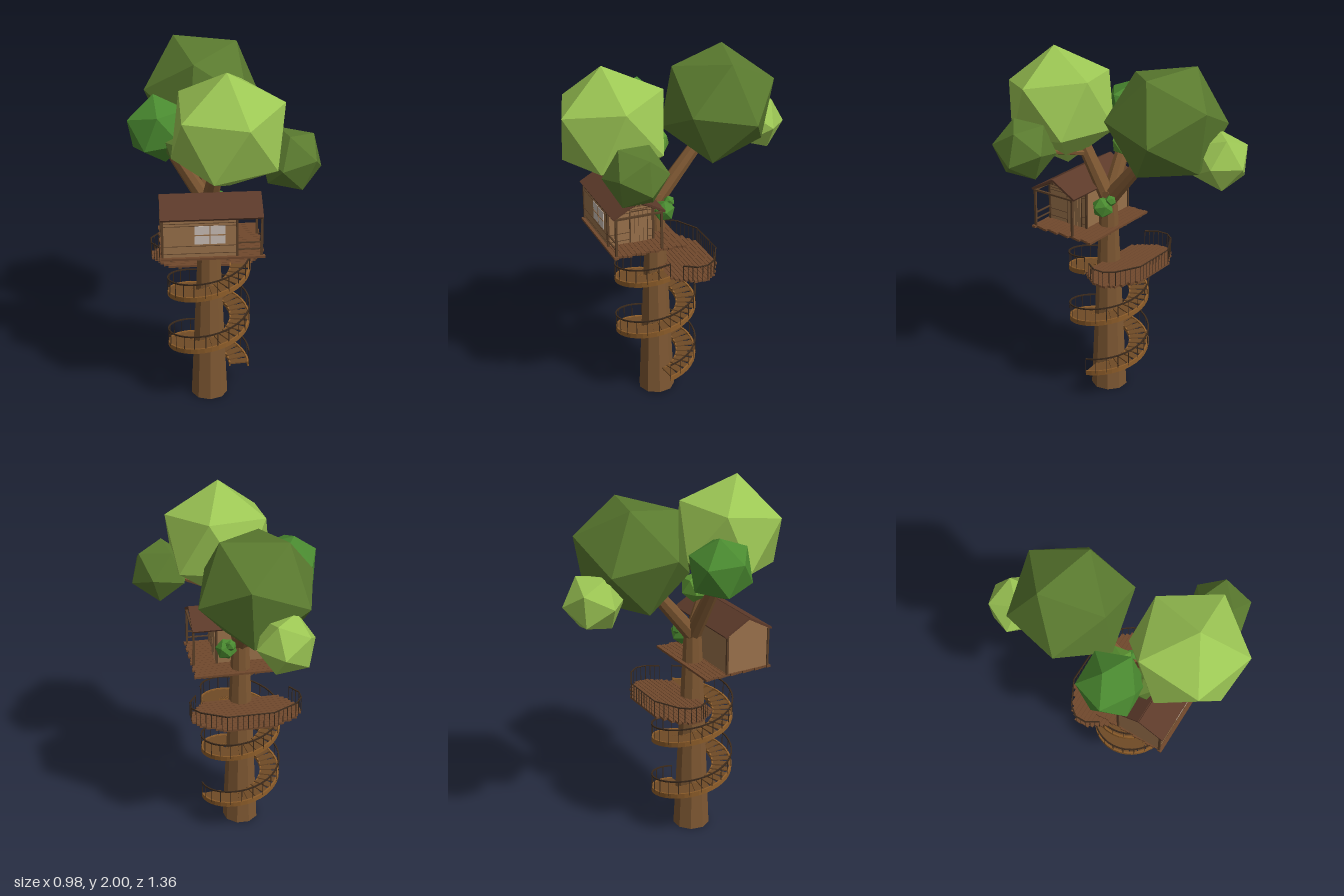
import * as THREE from 'three';

const V = (x, y, z) => new THREE.Vector3(x, y, z);
const mat = (color) => new THREE.MeshStandardMaterial({ color, flatShading: true });
const M = {
  bark: mat(0x7d5732), tread: mat(0x6f4a26), stringer: mat(0x8f5e2a), deck: mat(0x70482c),
  rail: mat(0x3b2a1c), wall: mat(0x98704a), trim: mat(0x5a3f28), roof: mat(0x5c3a2a), glass: mat(0xc9bdb5),
  lime: mat(0x9cc654), olive: mat(0x5a7a2f), green: mat(0x4a8a30), leaf: mat(0x5f9a35),
};
const CX = -0.065, CZ = 0.125; // trunk axis

function add(parent, name, geo, material) {
  const m = new THREE.Mesh(geo, material);
  m.name = name;
  parent.add(m);
  return m;
}
function box(parent, name, material, x0, x1, y0, y1, z0, z1) {
  const m = add(parent, name, new THREE.BoxGeometry(x1 - x0, y1 - y0, z1 - z0), material);
  m.position.set((x0 + x1) / 2, (y0 + y1) / 2, (z0 + z1) / 2);
  return m;
}
// Tapered round bar between two points
function bar(parent, name, material, a, b, r0, r1 = r0, sides = 4) {
  const m = add(parent, name, new THREE.CylinderGeometry(r1, r0, a.distanceTo(b), sides), material);
  m.position.copy(a).add(b).multiplyScalar(0.5);
  m.quaternion.setFromUnitVectors(V(0, 1, 0), b.clone().sub(a).normalize());
  return m;
}
function group(parent, name) {
  const g = new THREE.Group();
  g.name = name;
  parent.add(g);
  return g;
}

// Twenty-sided leaf clump with one corner along a and a neighbouring corner towards b
function frame(a, b) {
  const u = a.clone().normalize(), w = u.clone().cross(b).normalize();
  return new THREE.Matrix4().makeBasis(u, w.clone().cross(u), w);
}
function clump(parent, material, c, r, a, b) {
  const t = (1 + Math.sqrt(5)) / 2;
  const local = frame(V(-1, t, 0), V(1, t, 0)).invert();
  const m = add(parent, 'leafClump', new THREE.IcosahedronGeometry(r, 0), material);
  m.quaternion.setFromRotationMatrix(frame(V(...a), V(...b)).multiply(local));
  m.position.set(...c);
}

// Spiral stair: two turns, starting at +x and climbing round the back
const TURNS = 2, Y0 = 0.16, PITCH = 0.32;
const spiral = (t, r, y = 0) => V(CX + r * Math.cos(t), Y0 + PITCH * t / (2 * Math.PI) + y, CZ - r * Math.sin(t));
function helixBand(parent, name, material, r, w, y, h) {
  const g = new THREE.BoxGeometry(1, h, w, 72, 1, 1), p = g.attributes.position;
  for (let i = 0; i < p.count; i++) {
    const q = spiral((p.getX(i) + 0.5) * TURNS * 2 * Math.PI, r + p.getZ(i), y + p.getY(i));
    p.setXYZ(i, q.x, q.y, q.z);
  }
  g.computeVertexNormals();
  add(parent, name, g, material);
}
function buildStair(root) {
  const stair = group(root, 'spiralStair');
  helixBand(stair, 'outerStringer', M.stringer, 0.222, 0.01, 0, 0.028);
  helixBand(stair, 'innerStringer', M.stringer, 0.118, 0.008, 0, 0.02);
  helixBand(stair, 'handrail', M.rail, 0.225, 0.008, 0.09, 0.007);
  const steps = 56;
  for (let i = 0; i < steps; i++) {
    const t = (i + 0.5) / steps * TURNS * 2 * Math.PI;
    const tread = add(stair, 'tread', new THREE.BoxGeometry(0.11, 0.007, 0.042), M.tread);
    tread.position.copy(spiral(t, 0.168, 0.004));
    tread.rotation.y = t;
  }
  for (let i = 0; i <= 44; i++) {
    const t = i / 44 * TURNS * 2 * Math.PI;
    bar(stair, 'baluster', M.rail, spiral(t, 0.225), spiral(t, 0.225, 0.09), 0.0022);
  }
}

// Rounded landing behind the trunk: half width at each z
const EDGE = [[-0.185, 0.13], [-0.115, 0.265], [-0.06, 0.307], [0, 0.307], [0.065, 0.265], [0.125, 0.215]];
function halfWidth(z) {
  for (let i = 1; i < EDGE.length; i++) {
    const [z0, w0] = EDGE[i - 1], [z1, w1] = EDGE[i];
    if (z <= z1) return w0 + (w1 - w0) * (z - z0) / (z1 - z0);
  }
  return EDGE[EDGE.length - 1][1];
}
function buildLanding(root) {
  const landing = group(root, 'landing');
  for (let i = 0; i < 14; i++) {
    const z = -0.174 + i * 0.0222, w = halfWidth(z) - 0.004 * (i % 3 === 1);
    box(landing, 'deckBoard', M.deck, CX - w, CX + w, 0.79, 0.802, z - 0.01, z + 0.01);
  }
  for (const x of [-0.22, 0.09]) box(landing, 'joist', M.trim, x - 0.01, x + 0.01, 0.775, 0.79, -0.15, 0.11);
  // Railing from one side round the back to the other
  const pts = EDGE.slice(0, 5);
  const path = [...pts.map(([z, w]) => V(CX - w, 0.8, z)).reverse(), ...pts.map(([z, w]) => V(CX + w, 0.8, z))];
  const up = V(0, 0.086, 0);
  for (let i = 1; i < path.length; i++) {
    const a = path[i - 1], b = path[i], n = Math.max(2, Math.round(a.distanceTo(b) / 0.03));
    bar(landing, 'handrail', M.rail, a.clone().add(up), b.clone().add(up), 0.0045);
    for (let k = 0; k <= n; k++) {
      const p = a.clone().lerp(b, k / n);
      bar(landing, 'baluster', M.rail, p, p.clone().add(up), 0.0022);
    }
  }
}

// Cabin with a porch on the +x side, its ridge running along x
function buildHouse(root) {
  const house = group(root, 'house');
  const zb = 0.185, zf = 0.44, zm = (zb + zf) / 2, x0 = -0.325, x1 = 0.06, y0 = 1.012, y1 = 1.228;
  for (let i = 0; i < 16; i++) {
    const z = 0.063 + i * 0.0255, d = 0.006 * (i % 3);
    box(house, 'floorBoard', M.deck, -0.335 + d * 0.5, 0.205 - d, 1.0, y0, z - 0.0118, z + 0.0118);
  }
  for (const x of [-0.28, -0.14, 0.01, 0.15]) box(house, 'floorJoist', M.trim, x - 0.006, x + 0.006, 0.99, 1.0, 0.06, 0.445);

  // Walls with siding strips
  box(house, 'frontWall', M.wall, x0, x1, y0, y1, zf - 0.01, zf);
  box(house, 'backWall', M.wall, x0, x1, y0, y1, zb, zb + 0.01);
  for (const y of [1.03, 1.072, 1.185, 1.2, 1.215]) {
    box(house, 'siding', M.trim, x0, x1, y, y + 0.003, zf, zf + 0.002);
    box(house, 'siding', M.trim, x1, x1 + 0.002, y, y + 0.003, zb, zf);
  }
  const gable = new THREE.Shape([[zb, y0], [zf, y0], [zf, y1], [zm, 1.3], [zb, y1]].map(([z, y]) => new THREE.Vector2(-z, y)));
  for (const x of [x0, x1 - 0.01]) {
    const wall = add(house, 'gableWall', new THREE.ExtrudeGeometry(gable, { depth: 0.01, bevelEnabled: false }), M.wall);
    wall.rotation.y = Math.PI / 2;
    wall.position.x = x;
  }
  for (const x of [x0, x1]) for (const z of [zb, zf]) box(house, 'cornerPost', M.trim, x - 0.006, x + 0.006, y0, y1, z - 0.006, z + 0.006);

  // Window and door
  box(house, 'windowPane', M.glass, -0.16, 0, 1.085, 1.187, zf, zf + 0.004);
  box(house, 'windowBar', M.wall, -0.083, -0.077, 1.085, 1.187, zf, zf + 0.006);
  box(house, 'windowBar', M.wall, -0.16, 0, 1.133, 1.139, zf, zf + 0.006);
  box(house, 'doorFrame', M.trim, x1, x1 + 0.003, y0, 1.195, 0.215, 0.32);
  for (let i = 0; i < 4; i++) box(house, 'doorBoard', M.wall, x1, x1 + 0.006, y0, 1.188, 0.221 + i * 0.0235, 0.2425 + i * 0.0235);

  // Porch posts, rails and top beams
  for (const z of [zb, zf]) {
    box(house, 'porchPost', M.trim, 0.182, 0.194, y0, y1, z - 0.006, z + 0.006);
    box(house, 'eaveBeam', M.trim, x0, 0.194, y1 - 0.01, y1, z - 0.005, z + 0.005);
  }
  for (const y of [1.045, 1.083]) box(house, 'porchRail', M.trim, x1, 0.188, y, y + 0.006, zf - 0.004, zf + 0.004);
  box(house, 'porchTieBeam', M.trim, 0.182, 0.194, y1 - 0.01, y1, zb, zf);
  box(house, 'ridgeBeam', M.trim, x0, 0.194, 1.285, 1.297, zm - 0.005, zm + 0.005);

  // Roof slopes
  for (const s of [-1, 1]) {
    const a = V(0, 1.309, zm), b = V(0, 1.227, zm + s * 0.145);
    const slope = add(house, 'roofSlope', new THREE.BoxGeometry(0.53, 0.012, a.distanceTo(b)), M.roof);
    slope.position.copy(a).add(b).multiplyScalar(0.5).setX(-0.07);
    slope.rotation.x = s * Math.atan2(a.y - b.y, 0.145);
    bar(house, 'porchRafter', M.trim, V(0.188, 1.225, b.z), V(0.188, 1.3, zm), 0.005);
  }

  // Struts down to the trunk
  for (const [x, z] of [[-0.27, 0.2], [0.1, 0.2], [-0.13, 0.39], [0, 0.39]])
    bar(house, 'strut', M.trim, V(x, 0.995, z), V(CX + (x - CX) * 0.2, 0.92, CZ + 0.03), 0.009);
}

export function createModel() {
  const root = new THREE.Group();
  root.name = 'treeHouse';

  // Trunk and boughs
  const tree = group(root, 'tree');
  const trunk = add(tree, 'trunk', new THREE.CylinderGeometry(0.047, 0.103, 1.22, 9, 3), M.bark);
  trunk.position.set(CX, 0.61, CZ);
  const fork = V(CX, 1.16, CZ);
  for (const [x, y, z] of [[-0.3, 1.56, 0.14], [-0.01, 1.55, 0.3], [-0.07, 1.52, -0.17]])
    bar(tree, 'bough', M.bark, fork, V(x, y, z), 0.046, 0.034, 8);
  bar(tree, 'branch', M.bark, V(-0.03, 1.42, 0.24), V(0.3, 1.5, 0.37), 0.02, 0.012, 6);
  bar(tree, 'branch', M.bark, V(-0.07, 1.44, -0.1), V(-0.16, 1.5, -0.48), 0.02, 0.012, 6);

  // Foliage
  const f = group(root, 'foliage');
  clump(f, M.lime, [0.015, 1.68, 0.385], 0.324, [-0.01, 0.32, 0.05], [0.28, 0.145, 0.025]);
  clump(f, M.olive, [-0.075, 1.68, -0.245], 0.33, [-0.15, 0.29, -0.09], [0.18, 0.265, 0]);
  clump(f, M.green, [-0.318, 1.61, 0.14], 0.182, [-0.03, 0.18, -0.03], [-0.18, 0.04, 0.047]);
  clump(f, M.olive, [0.335, 1.52, 0.38], 0.172, [0.155, -0.053, -0.025], [0.107, 0.14, -0.03]);
  clump(f, M.lime, [-0.172, 1.503, -0.518], 0.163, [0.035, -0.01, -0.157], [-0.135, 0.1, -0.086]);
  clump(f, M.olive, [-0.22, 1.55, 0.26], 0.085, [0, 1, 0.1], [-1, 0, 0.3]);
  clump(f, M.leaf, [-0.16, 1.475, 0.082], 0.083, [0.1, 1, 0.2], [1, 0, 0.4]);
  clump(f, M.green, [0.02, 1.145, 0.103], 0.062, [0.3, 1, 0.1], [1, 0, 0.2]);
  clump(f, M.green, [0, 1.185, 0.066], 0.032, [0, 1, 0.3], [1, 0, 0]);

  buildStair(root);
  buildLanding(root);
  buildHouse(root);
  return root;
}
